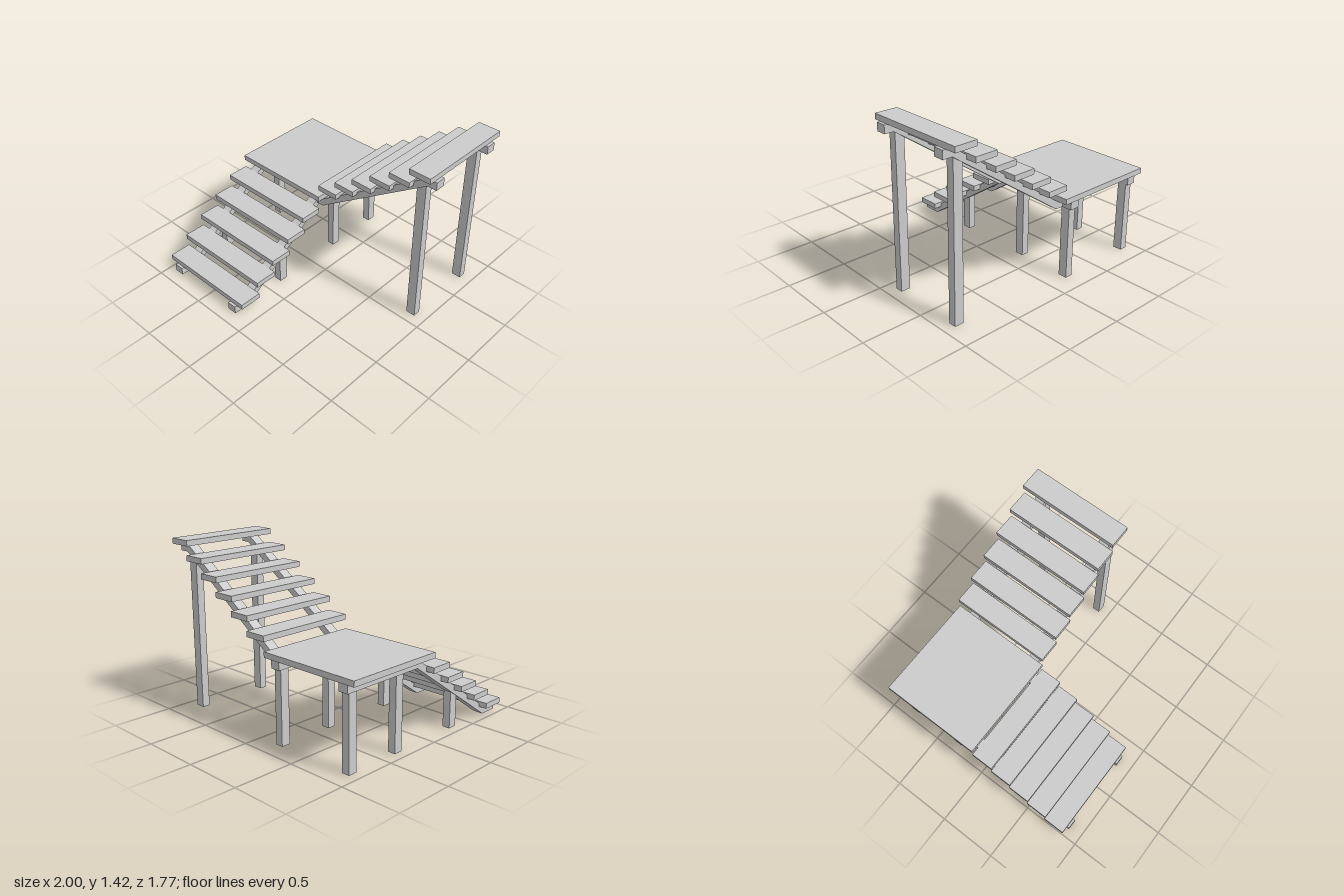
import * as THREE from 'three';

const material = new THREE.MeshStandardMaterial({ color: 0xcccccc, flatShading: true });

// Box given by its [min, max] range on each axis
function slab(parent, name, [x0, x1], [y0, y1], [z0, z1]) {
  const mesh = new THREE.Mesh(new THREE.BoxGeometry(x1 - x0, y1 - y0, z1 - z0), material);
  mesh.position.set((x0 + x1) / 2, (y0 + y1) / 2, (z0 + z1) / 2);
  mesh.name = name;
  parent.add(mesh);
}

// Stringer beam: its lower edge follows the points, extruded by width around z = 0
function stringer(name, points, height, width) {
  const shape = new THREE.Shape();
  points.forEach(([u, y], i) => (i ? shape.lineTo(u, y) : shape.moveTo(u, y)));
  [...points].reverse().forEach(([u, y]) => shape.lineTo(u, y + height));
  shape.closePath();
  const geometry = new THREE.ExtrudeGeometry(shape, { depth: width, bevelEnabled: false });
  geometry.translate(0, 0, -width / 2);
  const mesh = new THREE.Mesh(geometry, material);
  mesh.name = name;
  return mesh;
}

const around = (centre, size) => [centre - size / 2, centre + size / 2];

export function createModel() {
  const model = new THREE.Group();
  model.name = 'staircase';
  const lower = new THREE.Group();
  lower.name = 'lowerFlight';
  const landing = new THREE.Group();
  landing.name = 'landing';
  const upper = new THREE.Group();
  upper.name = 'upperFlight';
  model.add(lower, landing, upper);

  const deckX = [-1, -0.1];
  const deckZ = [-0.885, -0.024];
  const board = 0.046;
  const run = 0.1775;
  const depth = 0.19;

  // Landing platform
  slab(landing, 'platform', deckX, [0.67, 0.67 + board], deckZ);

  // Lower flight treads, climbing towards the back
  for (let i = 0; i < 5; i++) {
    const front = 0.868 - i * run;
    const y = 0.075 + i * 0.119;
    slab(lower, 'lowerTread', deckX, [y, y + board], [front - depth, front]);
  }

  // Lower stringers, running on under the landing, with their posts
  for (const x of [-0.89, -0.21]) {
    const beam = stringer('lowerStringer', [[0.886, 0], [0.73, 0], [-0.14, 0.602], [-0.875, 0.602]].reverse(), 0.068, 0.082);
    beam.rotation.y = -Math.PI / 2;
    beam.position.x = x;
    lower.add(beam);
    slab(lower, 'lowerPost', around(x, 0.065), [0, 0.305], around(0.328, 0.076));
    for (const z of [-0.328, -0.812])
      slab(landing, 'landingPost', around(x, 0.065), [0, 0.61], around(z, 0.076));
  }

  // Upper flight treads, climbing towards +x
  for (let i = 0; i < 6; i++) {
    const x = -0.1 + i * run;
    const y = 0.788 + i * 0.1178;
    slab(upper, 'upperTread', [x, x + depth], [y, y + board], deckZ);
  }

  // Upper stringers and tall posts
  for (const z of [-0.119, -0.746]) {
    const beam = stringer('upperStringer', [[-0.17, 0.602], [-0.1, 0.602], [0.92, 1.308], [1, 1.308]], 0.068, 0.086);
    beam.position.z = z;
    upper.add(beam);
    slab(upper, 'upperPost', around(0.865, 0.08), [0, 1.3], around(z, 0.065));
  }

  return model;
}
